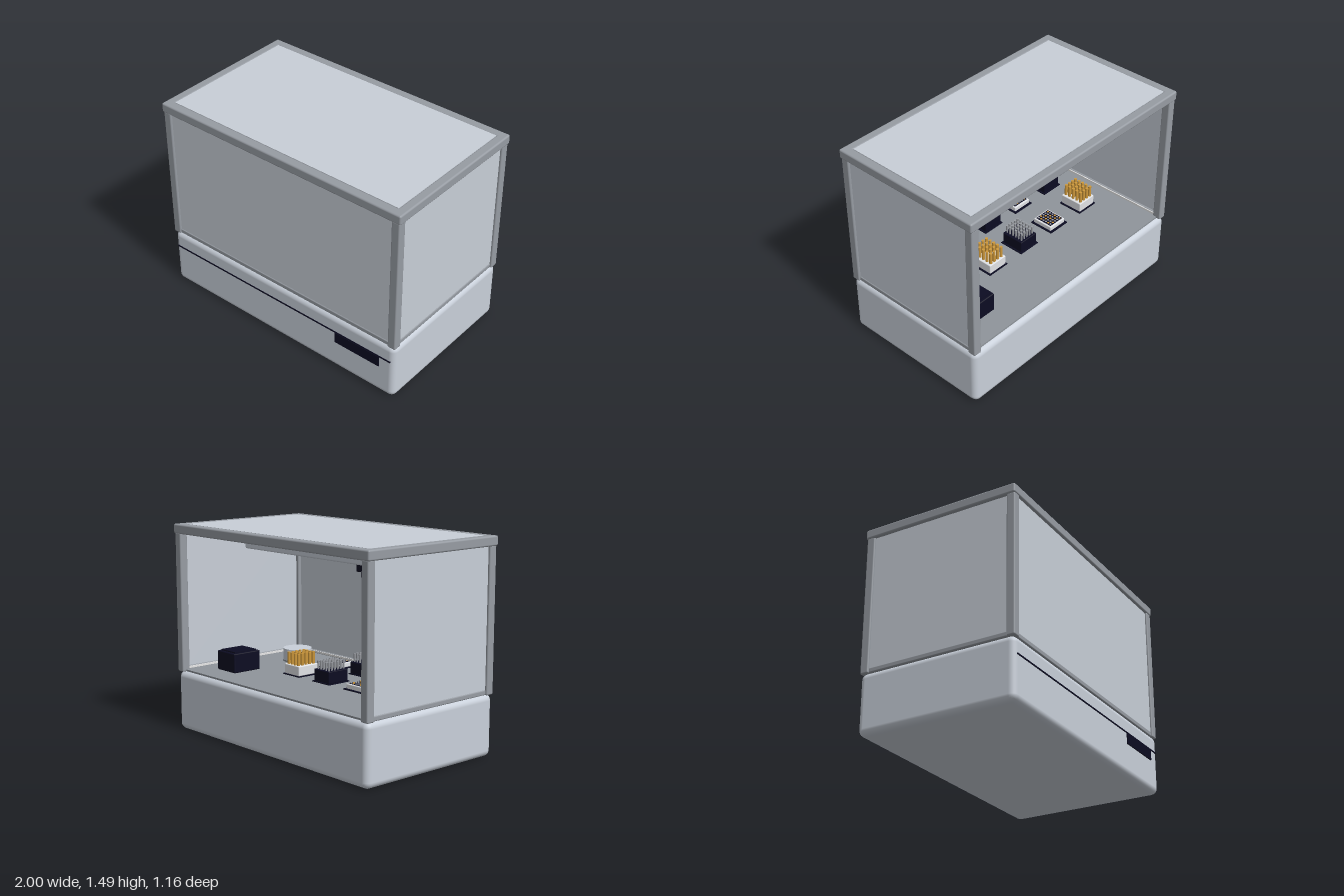
import * as THREE from 'three';
import { RoundedBoxGeometry } from 'three/addons/geometries/RoundedBoxGeometry.js';

const paint = (name, color) => {
  const m = new THREE.MeshStandardMaterial({ color });
  m.name = name;
  return m;
};

export function createModel() {
  const body = paint('pale body', 0xc9d0da);
  const glass = paint('tinted panel', 0xc8cfd8);
  const frame = paint('frame grey', 0x979ca3);
  const deckGrey = paint('deck grey', 0x8f959b);
  const dark = paint('near black', 0x0c0c22);
  const white = paint('white plastic', 0xeef0f4);
  const light = paint('strip light', 0xffffff);
  const amber = paint('amber tube', 0xd09a3c);
  const steel = paint('tip grey', 0x9a9da3);

  const model = new THREE.Group();
  model.name = 'liquidHandler';

  const add = (name, geo, mat, x, y, z, parent = model) => {
    const mesh = new THREE.Mesh(geo, mat);
    mesh.name = name;
    mesh.position.set(x, y, z);
    parent.add(mesh);
    return mesh;
  };
  const box = (name, mat, w, h, d, x, y, z, parent) =>
    add(name, new THREE.BoxGeometry(w, h, d), mat, x, y, z, parent);
  const round = (name, mat, w, h, d, r, x, y, z, parent) =>
    add(name, new RoundedBoxGeometry(w, h, d, 3, r), mat, x, y, z, parent);
  const group = (name, x, y, z) => {
    const g = new THREE.Group();
    g.name = name;
    g.position.set(x, y, z);
    model.add(g);
    return g;
  };

  // Base housing with seam line and display
  round('base', body, 1.98, 0.43, 1.15, 0.045, 0, 0.215, 0);
  box('seamLine', dark, 1.92, 0.01, 0.008, 0, 0.307, 0.575);
  box('display', dark, 0.37, 0.08, 0.009, 0.685, 0.265, 0.5785);
  const deckY = 0.44;
  box('deck', deckGrey, 1.88, 0.02, 1.09, 0, deckY - 0.01, 0);

  // Corner posts, top frame and side panels
  for (const sx of [-1, 1]) {
    for (const sz of [-1, 1]) {
      round('cornerPost', frame, 0.062, 1.0, 0.062, 0.01, sx * 0.96, 0.925, sz * 0.544);
    }
    round('topSideRail', frame, 0.066, 0.068, 1.16, 0.012, sx * 0.967, 1.452, 0);
    round('topLongRail', frame, 2, 0.068, 0.066, 0.012, 0, 1.452, sx * 0.547);
    box('sidePanel', glass, 0.02, 0.97, 1.03, sx * 0.965, 0.945, 0);
    round('lowerSideRail', frame, 0.04, 0.035, 1.03, 0.008, sx * 0.96, 0.445, 0);
    box('sideLight', light, 0.008, 0.014, 1.03, sx * 0.937, 0.452, 0);
  }
  box('frontPanel', glass, 1.87, 0.97, 0.02, 0, 0.945, 0.55);
  round('lowerFrontRail', frame, 1.87, 0.035, 0.04, 0.008, 0, 0.445, 0.545);
  box('frontLight', light, 1.87, 0.014, 0.008, 0, 0.452, 0.522);
  box('topPanel', glass, 1.87, 0.02, 1.03, 0, 1.475, 0);

  // Gantry beam, carriage and pipette head
  round('gantryBeam', body, 1.86, 0.11, 0.12, 0.012, 0, 1.325, 0.06);
  round('carriage', dark, 0.16, 0.17, 0.08, 0.01, -0.22, 1.285, 0.155);
  round('pipetteHead', body, 0.1, 0.34, 0.11, 0.012, -0.225, 1.09, 0.178);
  box('pipetteScreen', dark, 0.07, 0.05, 0.006, -0.225, 1.19, 0.122);
  const nozzleGeo = new THREE.CylinderGeometry(0.006, 0.003, 0.14, 8);
  for (let i = 0; i < 4; i++) {
    for (let j = 0; j < 4; j++) {
      add('pipetteTip', nozzleGeo, steel, -0.225 + (i - 1.5) * 0.024, 0.855, 0.178 + (j - 1.5) * 0.026);
    }
  }

  // Deck modules
  round('heaterBlock', dark, 0.2, 0.14, 0.23, 0.008, 0.69, deckY + 0.07, -0.255);
  box('heaterLid', dark, 0.16, 0.01, 0.19, 0.69, deckY + 0.143, -0.255);
  add('spinnerFoot', new THREE.CylinderGeometry(0.108, 0.108, 0.012, 40), deckGrey, 0.646, deckY + 0.006, 0.26);
  add('spinner', new THREE.CylinderGeometry(0.105, 0.105, 0.09, 40), body, 0.646, deckY + 0.05, 0.26);

  // Labware
  const tubeGeo = new THREE.CylinderGeometry(0.011, 0.011, 0.09, 10);
  const tipGeo = new THREE.CylinderGeometry(0.009, 0.006, 0.06, 8);
  const wellGeo = new THREE.CylinderGeometry(0.008, 0.008, 0.004, 10);
  const fill = (g, name, geo, mat, nx, nz, dx, dz, y) => {
    for (let i = 0; i < nx; i++) {
      for (let j = 0; j < nz; j++) {
        const m = typeof mat === 'function' ? mat(i, j) : mat;
        add(name, geo, m, (i - (nx - 1) / 2) * dx, y, (j - (nz - 1) / 2) * dz, g);
      }
    }
  };
  const labware = {
    tubes(g) {
      round('tubeRack', white, 0.155, 0.07, 0.175, 0.006, 0, 0.041, 0, g);
      fill(g, 'tube', tubeGeo, amber, 4, 5, 0.034, 0.034, 0.115);
    },
    tips(g) {
      round('tipRack', dark, 0.155, 0.085, 0.175, 0.006, 0, 0.048, 0, g);
      fill(g, 'tip', tipGeo, steel, 5, 6, 0.027, 0.027, 0.12);
    },
    plate(g) {
      round('wellPlate', white, 0.15, 0.035, 0.16, 0.006, 0, 0.023, 0, g);
      box('wellField', dark, 0.125, 0.004, 0.135, 0, 0.041, 0, g);
      fill(g, 'well', wellGeo, (i, j) => ((i * 2 + j * 3) % 5 < 2 ? amber : steel), 5, 6, 0.024, 0.022, 0.043);
    },
  };
  const rows = [
    { z: 0.32, items: ['plate', 'tips', 'plate', 'tips'] },
    { z: -0.02, items: ['tubes', 'tips', 'plate', 'tubes'] },
  ];
  for (const { z, items } of rows) {
    items.forEach((kind, i) => {
      const g = group(kind + 'Slot', 0.275 - i * 0.315, deckY, z);
      box('slotMat', dark, 0.175, 0.006, 0.19, 0, 0.003, 0, g);
      labware[kind](g);
    });
  }
  return model;
}
